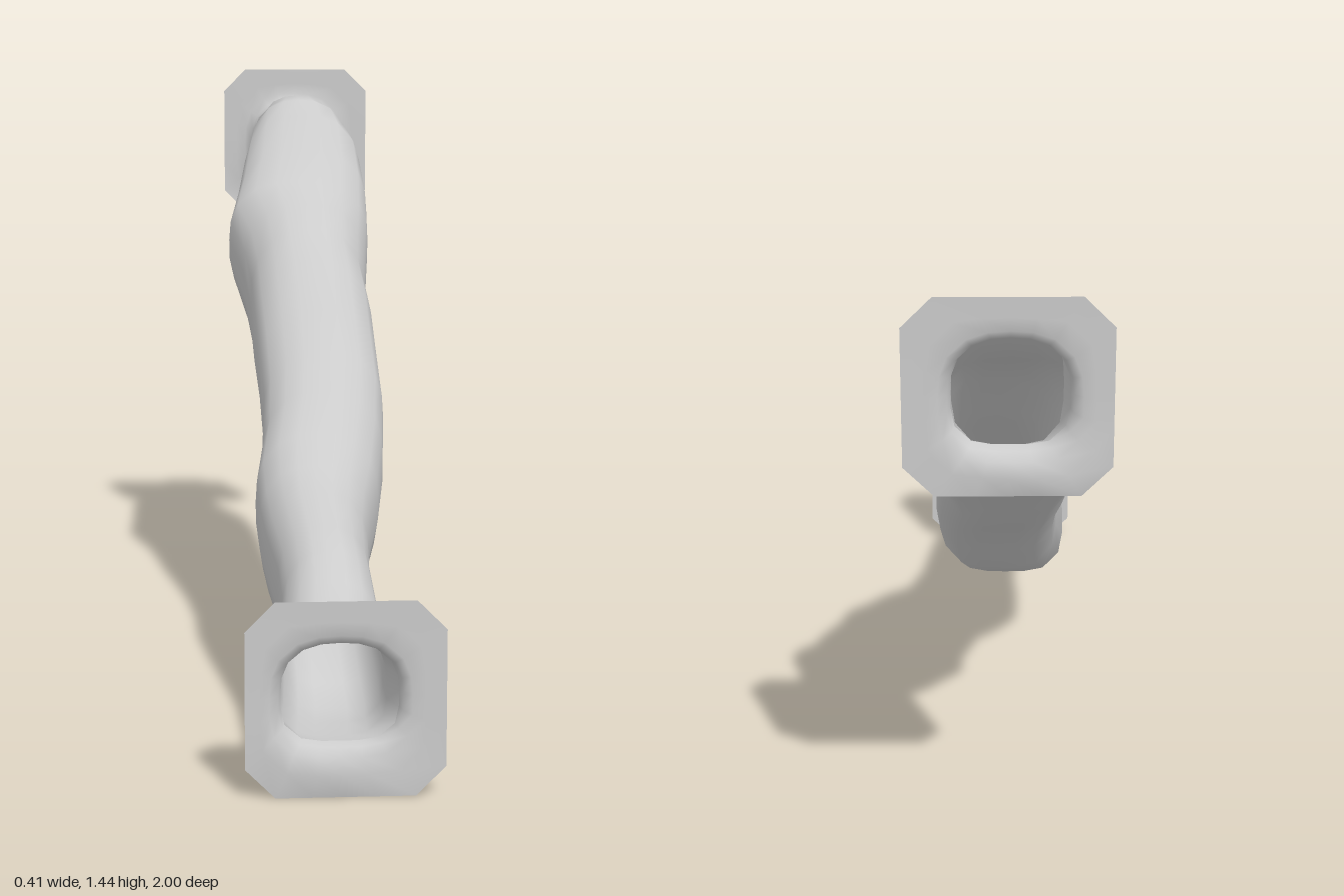
import * as THREE from 'three';

const material = new THREE.MeshStandardMaterial({ color: 0xcccccc, side: THREE.DoubleSide });

// Ring directions: chosen so the chamfered flange corners fall on vertices
const ANGLES = [];
for (let q = 0; q < 4; q++) {
  for (const a of [0, 17.5, 35, 55, 72.5]) ANGLES.push(((q * 90 + a) * Math.PI) / 180);
}

// Tunnel stations: z, floor y, roof y, min x, max x
const STATIONS = [
  [0.95, 0.11, 0.315, -0.13, 0.11],
  [0.9, 0.105, 0.325, -0.135, 0.09],
  [0.82, 0.105, 0.335, -0.125, 0.09],
  [0.73, 0.105, 0.385, -0.12, 0.095],
  [0.65, 0.135, 0.43, -0.115, 0.09],
  [0.56, 0.19, 0.465, -0.12, 0.085],
  [0.4, 0.225, 0.505, -0.14, 0.095],
  [0.3, 0.25, 0.545, -0.15, 0.11],
  [0.2, 0.28, 0.6, -0.155, 0.135],
  [0.1, 0.345, 0.69, -0.135, 0.155],
  [0, 0.44, 0.77, -0.13, 0.165],
  [-0.1, 0.525, 0.86, -0.135, 0.16],
  [-0.2, 0.59, 0.97, -0.145, 0.155],
  [-0.3, 0.66, 1.04, -0.15, 0.145],
  [-0.4, 0.735, 1.1, -0.165, 0.155],
  [-0.52, 0.84, 1.15, -0.2, 0.17],
  [-0.62, 0.9, 1.23, -0.175, 0.175],
  [-0.7, 0.965, 1.32, -0.155, 0.165],
  [-0.75, 1.01, 1.36, -0.14, 0.14],
  [-0.82, 1.065, 1.365, -0.115, 0.115],
  [-0.88, 1.1, 1.37, -0.11, 0.11],
  [-0.95, 1.13, 1.35, -0.12, 0.11],
];

// Arched section: boxy floor, rounder roof
function archRing([z, y0, y1, x0, x1], grow = 0) {
  const cx = (x0 + x1) / 2, cy = (y0 + y1) / 2;
  const rx = (x1 - x0) / 2 + grow, ry = (y1 - y0) / 2 + grow;
  return ANGLES.map((a) => {
    const c = Math.cos(a), s = Math.sin(a);
    const n = s < 0 ? 3.6 : 2.5;
    const r = (Math.abs(c) ** n + Math.abs(s) ** n) ** (-1 / n);
    return new THREE.Vector3(cx + rx * r * c, cy + ry * r * s, z);
  });
}

// Chamfered square outline of a flange
function flangeRing(cy, z, half) {
  return ANGLES.map((a) => {
    const c = Math.abs(Math.cos(a)), s = Math.abs(Math.sin(a));
    const r = Math.min(half / Math.max(c, s), (half * 1.7) / (c + s));
    return new THREE.Vector3(r * Math.cos(a), cy + r * Math.sin(a), z);
  });
}

// Skin a list of closed rings
function loft(name, rings) {
  const n = ANGLES.length, index = [];
  for (let i = 0; i < rings.length - 1; i++) {
    for (let j = 0; j < n; j++) {
      const k = (j + 1) % n;
      const a = i * n + j, b = i * n + k, c = a + n, d = b + n;
      index.push(a, c, b, b, c, d);
    }
  }
  const geometry = new THREE.BufferGeometry().setFromPoints(rings.flat());
  geometry.setIndex(index);
  geometry.computeVertexNormals();
  const mesh = new THREE.Mesh(geometry, material);
  mesh.name = name;
  return mesh;
}

// End collar: flared throat opening into a thin, slightly uneven plate
function collar(name, station, cy, dir) {
  const at = (z) => [z * dir, ...station.slice(1)];
  const lip = archRing(at(0.985), 0.024);
  const edge = flangeRing(cy, 0.986 * dir, 0.203);
  const middle = lip.map((p, j) => {
    const m = p.clone().lerp(edge[j], 0.4);
    // raised ripple along the lower side
    m.z = dir * (0.985 + 0.015 * Math.max(0, -Math.sin(ANGLES[j] + 0.2)) ** 4);
    return m;
  });
  const rings = [archRing(station), archRing(at(0.972), 0.006), lip, middle, edge];
  return loft(name, dir > 0 ? rings.reverse() : rings);
}

export function createModel() {
  const group = new THREE.Group();
  group.name = 'slopingTunnel';
  group.add(
    loft('tunnelTube', STATIONS.map((s) => archRing(s))),
    collar('frontFlange', STATIONS[0], 0.207, 1),
    collar('backFlange', STATIONS[STATIONS.length - 1], 1.239, -1),
  );
  return group;
}
